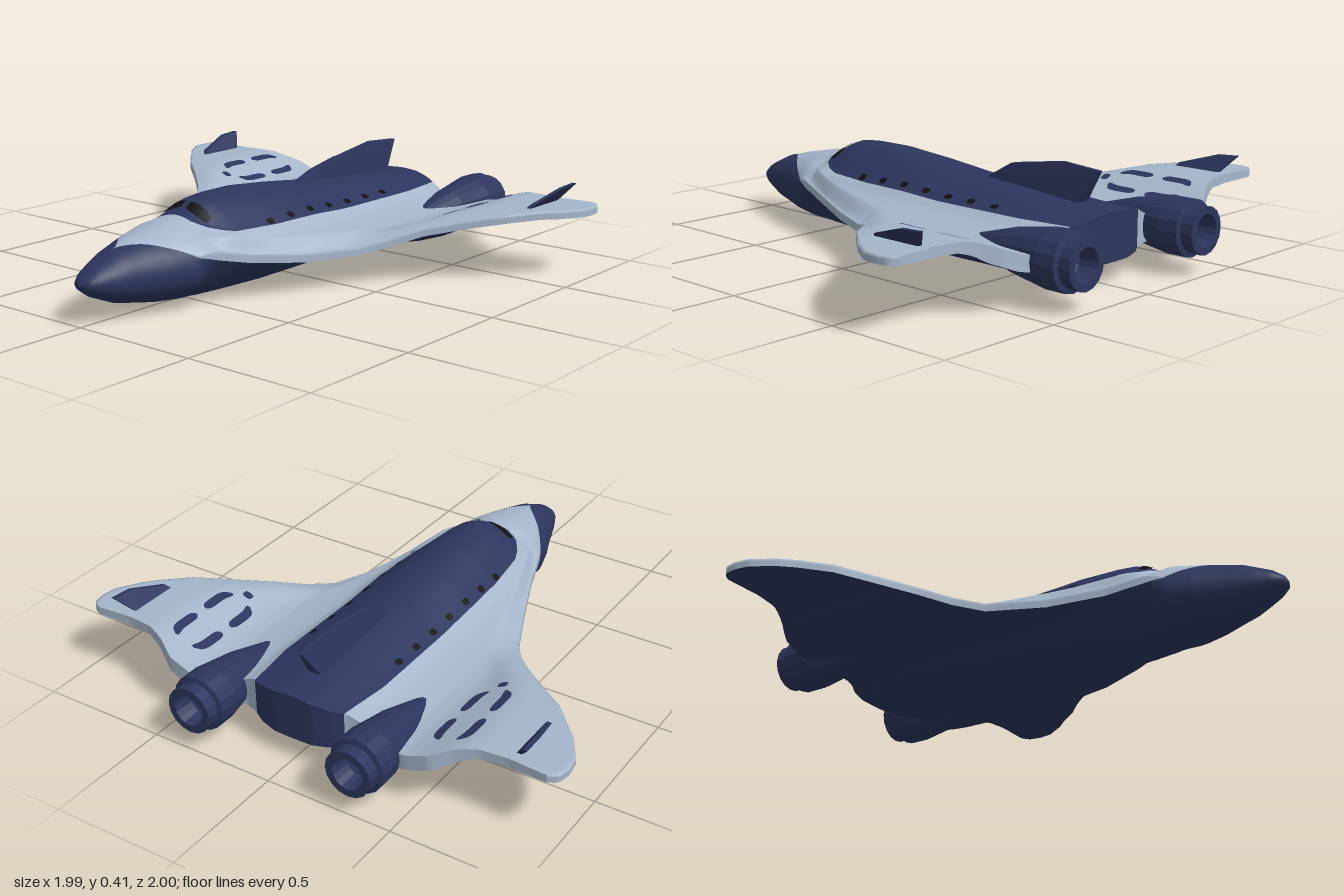
import * as THREE from 'three';

// piecewise-linear lookup through [key, value] pairs with rising keys
const table = (...p) => (q) => {
  if (q <= p[0][0]) return p[0][1];
  for (let i = 1; i < p.length; i++) {
    const [a, b] = [p[i - 1], p[i]];
    if (q <= b[0]) return a[1] + (b[1] - a[1]) * (q - a[0]) / (b[0] - a[0]);
  }
  return p[p.length - 1][1];
};
const { lerp, smoothstep } = THREE.MathUtils;

// station curves along z
const halfWidth = table([-0.8, 0.95], [-0.78, 0.985], [-0.72, 0.995], [-0.65, 0.985], [-0.55, 0.93], [-0.4, 0.8], [-0.3, 0.68],
  [-0.2, 0.57], [-0.1, 0.485], [0, 0.42], [0.2, 0.33], [0.4, 0.25], [0.6, 0.19], [0.7, 0.16], [0.8, 0.12], [0.9, 0.085], [0.96, 0.058], [0.99, 0.035], [1, 0.001]);
const crownY = table([-0.8, 0.27], [-0.5, 0.3], [-0.3, 0.315], [-0.2, 0.32], [0, 0.345], [0.2, 0.365], [0.35, 0.366], [0.42, 0.36],
  [0.46, 0.345], [0.52, 0.31], [0.6, 0.3], [0.75, 0.27], [0.85, 0.245], [0.95, 0.2], [0.99, 0.17], [1, 0.15]);
const keelY = table([-0.8, 0.09], [-0.71, 0.07], [-0.67, 0.02], [-0.2, 0.01], [0.2, 0.003], [0.5, 0.01], [0.7, 0.03], [0.85, 0.058], [0.95, 0.1], [0.99, 0.128], [1, 0.148]);
const roofHalf = table([-0.8, 0.19], [-0.6, 0.215], [0, 0.21], [0.2, 0.2], [0.4, 0.175], [0.45, 0.155], [0.5, 0.12], [0.525, 0.06], [0.62, 0.08]);
const roofEdgeY = table([-0.8, 0.24], [-0.2, 0.24], [0, 0.25], [0.2, 0.25], [0.4, 0.255], [0.45, 0.265], [0.5, 0.28], [0.525, 0.3], [0.62, 0.28]);
const edgeY = table([-0.5, 0.242], [-0.4, 0.232], [-0.3, 0.21], [-0.2, 0.185], [-0.1, 0.15], [0, 0.125], [0.2, 0.125], [0.4, 0.15], [0.62, 0.2]);
const paintAngle = table([0.52, 0.2], [0.6, 0.32], [0.7, 0.8], [0.83, Math.PI / 2]);
// spanwise curves along x
const gullTop = table([0.2, 0.225], [0.25, 0.207], [0.3, 0.2], [0.4, 0.19], [0.45, 0.195], [0.5, 0.21], [0.55, 0.23], [0.6, 0.25], [0.65, 0.265], [0.7, 0.272]);
const gullBottom = table([0.25, 0.105], [0.3, 0.11], [0.4, 0.125], [0.5, 0.15], [0.6, 0.19], [0.65, 0.22], [0.7, 0.235], [1, 0.245]);
const trailing = table([0, -0.85], [0.08, -0.85], [0.15, -0.83], [0.2, -0.8], [0.25, -0.79], [0.35, -0.82], [0.45, -0.845],
  [0.55, -0.84], [0.62, -0.8], [0.7, -0.77], [0.8, -0.76], [0.94, -0.77]);

// upper and lower skin heights
function topY(px, z) {
  const x = Math.abs(px), R = roofHalf(z), W = halfWidth(z), yR = roofEdgeY(z);
  if (x <= R) return yR + (crownY(z) - yR) * Math.pow(1 - (x / R) ** 2, 1.2);
  const s = Math.min(1, (x - R) / (W - R));
  const y = gullTop(x) + (yR - gullTop(R)) * Math.exp((R - x) / 0.08);
  return lerp(y, edgeY(z) + 0.03, smoothstep(s, 0.5, 1));
}
function bottomRaw(x, z) {
  const k = keelY(z);
  return x < 0.25 ? k + (0.105 - k) * Math.pow(x / 0.25, 1.8) : gullBottom(x);
}
function bottomY(px, z) {
  const x = Math.abs(px), W = halfWidth(z);
  return bottomRaw(x, z) + (edgeY(z) - bottomRaw(W, z)) * (x / W) ** 3;
}

// a point on the hull: rounded nose section blending into the winged section
function hullPoint(zone, t, z) {
  const W = halfWidth(z), R = roofHalf(z), a = paintAngle(z), m = (Math.PI / 2 + a) / 2;
  const ang = zone === 'roof' ? lerp(Math.PI / 2, m, t) : zone === 'deck' ? lerp(m, a, t) : lerp(a, -Math.PI / 2, t);
  const s = Math.sin(ang), yM = 0.15;
  const ex = W * Math.cos(ang), ey = yM + s * (s > 0 ? crownY(z) - yM : yM - keelY(z));
  let x, y;
  if (zone === 'roof') { x = R * t; y = topY(x, z); }
  else if (zone === 'deck') {
    x = lerp(R, W, Math.min(1, t / 0.95));
    y = t <= 0.95 ? topY(x + 1e-6, z) : lerp(edgeY(z) + 0.03, edgeY(z), (t - 0.95) / 0.05);
  } else { x = W * (1 - t); y = bottomY(x, z); }
  const k = 1 - smoothstep(z, 0.52, 0.62);
  x = lerp(ex, x, k);
  const sweep = (trailing(x) + 0.8) * (1 - smoothstep(z, -0.8, -0.5));
  return [x, lerp(ey, y, k), z + sweep];
}

// surface from a point rule; front side is du x dv
function grid(fn, nu, nv) {
  const pos = [], idx = [];
  for (let j = 0; j <= nv; j++) for (let i = 0; i <= nu; i++) pos.push(...fn(i / nu, j / nv));
  for (let j = 0; j < nv; j++) for (let i = 0; i < nu; i++) {
    const a = j * (nu + 1) + i, b = a + nu + 1;
    idx.push(a, a + 1, b, a + 1, b + 1, b);
  }
  const g = new THREE.BufferGeometry();
  g.setAttribute('position', new THREE.Float32BufferAttribute(pos, 3));
  g.setIndex(idx);
  g.computeVertexNormals();
  return g;
}

export function createModel() {
  const model = new THREE.Group();
  const mat = (name, color) => Object.assign(new THREE.MeshStandardMaterial({ color }), { name });
  const navy = mat('navy', 0x2d355d), pale = mat('paleBlue', 0xa5b6cb), black = mat('black', 0x101012);
  const add = (name, geo, material) => {
    const m = new THREE.Mesh(geo, material);
    m.name = name;
    model.add(m);
    return m;
  };
  const mirrored = (zone, side) => (t, z) => {
    const [x, y, zz] = hullPoint(zone, t, z);
    return [x * side, y, zz];
  };

  // hull skins
  const across = (zone, z0, z1) => (u, v) => {
    const c = u * 2 - 1;
    return mirrored(zone, Math.sign(c) || 1)(Math.abs(c), lerp(z0, z1, v));
  };
  add('roof', grid(across('roof', 0.522, -0.8), 32, 90), navy);
  add('noseDeck', grid(across('roof', 0.83, 0.522), 32, 24), pale);
  add('underside', grid((u, v) => {
    const c = 1 - u * 2;
    return mirrored('belly', Math.sign(c) || 1)(1 - Math.abs(c), lerp(1, -0.8, v));
  }, 80, 144), navy);
  const back = (a, b) => (u, v) => {
    const x = lerp(a, b, u);
    return [x, lerp(bottomY(x, -0.8), topY(x, -0.8), v), trailing(Math.abs(x))];
  };
  add('bodyRear', grid(back(0.19, -0.19), 24, 2), navy);

  // thin panel draped over the upper skin
  const panel = (name, cx, cz, w, l, material, bend = 0, end = 0) => add(name, grid((u, v) => {
    const q = 1 - v * 2, p = u * 2 - 1;
    const x = cx + p * w / 2 * Math.sqrt(1 - 0.9 * q ** 6) + bend * Math.max(0, q * end) ** 3;
    const z = cz + q * l / 2;
    return [x, topY(x, z) + 0.005, z];
  }, 4, 10), material);

  for (const side of [1, -1]) {
    const label = side > 0 ? 'left' : 'right';
    add(label + 'Wing', grid((u, v) => mirrored('deck', side)(side > 0 ? u : 1 - u, lerp(0.83, -0.8, v)), 60, 110), pale);
    add(label + 'WingRear', grid(side > 0 ? back(0.95, 0.19) : back(-0.19, -0.95), 40, 2), pale);

    // wing slots
    for (const [x, b] of [[0.505, 0.02], [0.62, -0.02]]) {
      panel(label + 'RearSlot', side * x, -0.67, 0.036, 0.14, navy, side * b, -1);
      panel(label + 'FrontSlot', side * x, -0.48, 0.036, 0.14, navy, side * b, 1);
    }
    panel(label + 'WingPort', side * 0.56, -0.368, 0.035, 0.032, navy);

    // windows
    panel(label + 'CockpitWindow', side * 0.062, 0.475, 0.1, 0.042, black);
    for (let i = 0; i < 7; i++) panel(label + 'CabinWindow', side * 0.187, 0.225 - i * 0.114, 0.022, 0.034, black);

    // engine with hollow nozzle
    const profile = [[0, 0.4], [0.038, 0.55], [0.08, 0.7], [0.1, 0.82], [0.107, 0.86], [0.107, 0.945], [0.088, 0.95],
      [0.09, 1], [0.062, 1], [0.05, 0.93], [0, 0.9]].map(([r, h]) => new THREE.Vector2(r, h));
    const pod = new THREE.LatheGeometry(profile, 16).toNonIndexed();
    pod.rotateX(-Math.PI / 2);
    pod.computeVertexNormals();
    add(label + 'Engine', pod, navy).position.set(side * 0.335, 0.168, 0);
  }

  // upright blades: outline in (z, y), with x remapped by a rule
  const blade = (name, pts, thick, rule) => {
    const shape = new THREE.Shape(pts.map(([z, y]) => new THREE.Vector2(-z, y)));
    const g = new THREE.ExtrudeGeometry(shape, { depth: thick, bevelEnabled: false });
    g.rotateY(Math.PI / 2).translate(-thick / 2, 0, 0);
    const p = g.attributes.position;
    for (let i = 0; i < p.count; i++) p.setX(i, rule(p.getX(i), p.getY(i)));
    g.computeVertexNormals();
    add(name, g, navy);
  };
  blade('tailFin', [[-0.25, 0.3], [-0.3, 0.33], [-0.38, 0.378], [-0.5, 0.397], [-0.62, 0.415], [-0.785, 0.402], [-0.7, 0.27], [-0.4, 0.27]],
    0.06, (x, y) => x * (1 - 0.8 * Math.max(0, y - 0.3) / 0.115));
  for (const side of [1, -1]) {
    blade(side > 0 ? 'leftWinglet' : 'rightWinglet', [[-0.51, 0.262], [-0.53, 0.285], [-0.68, 0.33], [-0.77, 0.335], [-0.71, 0.262]],
      0.018, (x, y) => x + side * (0.815 + (y - 0.265) * 0.75));
  }
  return model;
}
